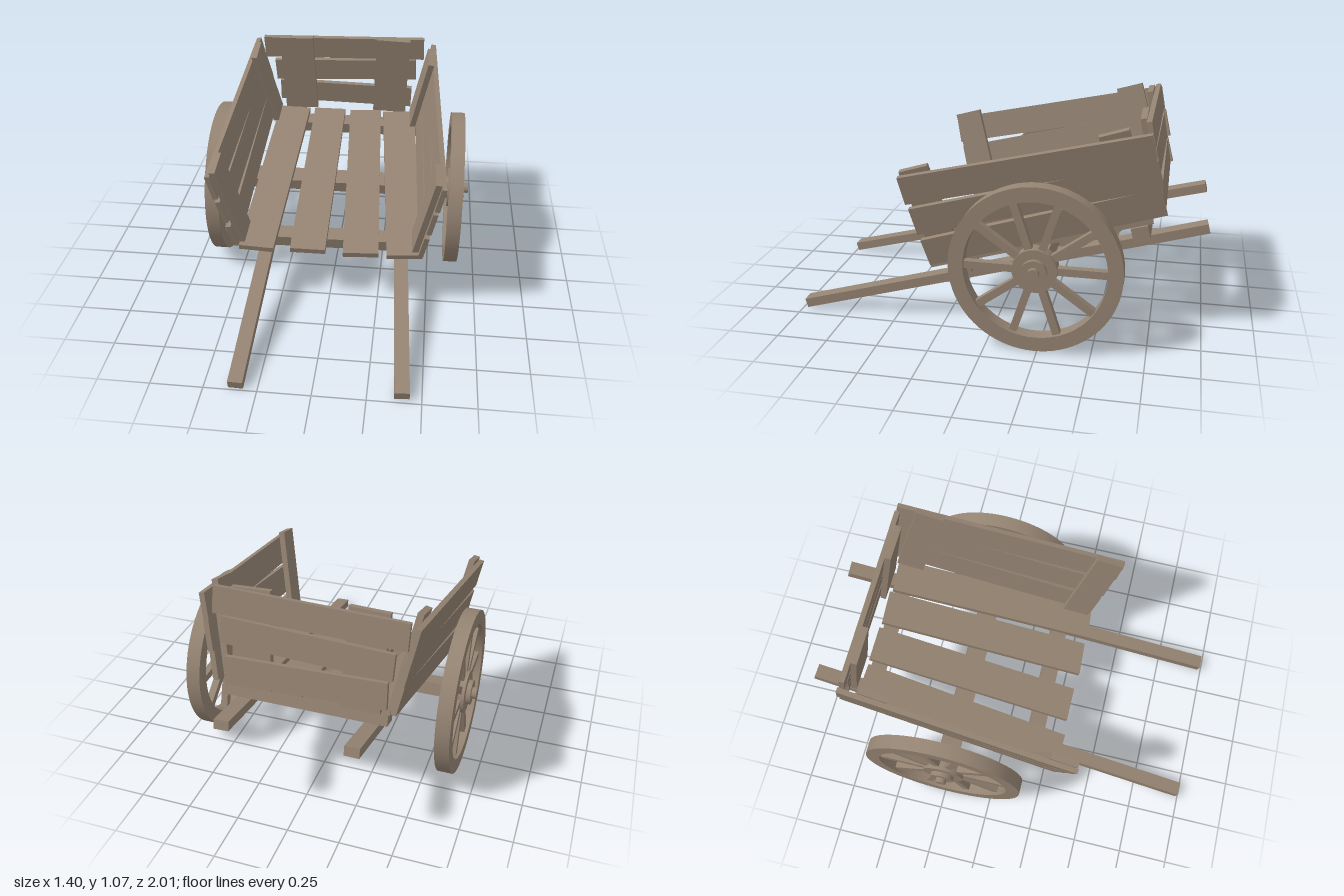
import * as THREE from 'three';
import { toCreasedNormals } from 'three/addons/utils/BufferGeometryUtils.js';

const V = (x, y, z) => new THREE.Vector3(x, y, z);

export function createModel() {
  const wood = new THREE.MeshStandardMaterial({ color: 0x95857a });
  wood.name = 'weathered wood';
  wood.color.set(0x958473);
  const model = new THREE.Group();
  model.name = 'handCart';

  // Tilted frame: origin at the axle, z runs forward along the shafts
  const body = new THREE.Group();
  body.name = 'body';
  body.position.set(0, 0.408, -0.235);
  body.rotation.x = 0.255;
  model.add(body);

  // Straight plank from a to b; side is the direction of its width
  function plank(name, a, b, side, width, thick, parent = body) {
    const z = b.clone().sub(a);
    const length = z.length();
    z.normalize();
    const y = z.clone().cross(side).normalize();
    const x = y.clone().cross(z);
    const mesh = new THREE.Mesh(new THREE.BoxGeometry(width, thick, length), wood);
    mesh.quaternion.setFromRotationMatrix(new THREE.Matrix4().makeBasis(x, y, z));
    mesh.position.copy(a).lerp(b, 0.5);
    mesh.name = name;
    parent.add(mesh);
  }
  const X = V(1, 0, 0);

  // Shafts
  plank('rightShaft', V(-0.31, -0.06, -0.765), V(-0.35, -0.06, 1.285), X, 0.07, 0.046);
  plank('leftShaft', V(0.288, -0.06, -0.775), V(0.41, -0.06, 1.275), X, 0.07, 0.046);

  // Cross beams under the floor
  plank('frontBeam', V(-0.395, -0.002, 0.42), V(0.44, -0.006, 0.405), V(0, 0, 1), 0.08, 0.065);
  plank('backBeam', V(-0.39, 0, -0.47), V(0.4, 0, -0.47), V(0, 0, 1), 0.08, 0.065);
  plank('axleBeam', V(-0.58, 0, 0), V(0.58, 0, 0), V(0, 0, 1), 0.1, 0.065);

  // Floor planks: back x, front x, front end
  [[-0.315, -0.366, 0.56], [-0.108, -0.105, 0.555], [0.1, 0.163, 0.56], [0.292, 0.382, 0.555]]
    .forEach(([xb, xf, zf]) =>
      plank('floorPlank', V(xb, 0.047, -0.53), V(xf, 0.047, zf), X, 0.178, 0.03));

  // Leaning side walls: foot x at the front and back, then three boards and two uprights
  for (const [s, footFront, footBack] of [[1, 0.46, 0.39], [-1, 0.468, 0.428]]) {
    const at = (y, z, inset = 0) => {
      const t = (z + 0.625) / 1.18;
      return V(s * (footBack + (footFront - footBack) * t + 0.19 * (y - 0.04) - inset), y, z);
    };
    const up = V(s * 0.19, 1, 0);
    // Board heights at the back and front
    [[0.406, 0.458, -0.625, 0.552], [0.28, 0.291, -0.625, 0.552], [0.143, 0.118, -0.61, 0.55]]
      .forEach(([yb, yf, zb, zf]) =>
        plank('sideBoard', at(yb, zb), at(yf, zf), up, 0.143, 0.025));
    const along = at(0, 0.5).sub(at(0, -0.5));
    plank('frontUpright', at(0.05, 0.462, 0.029), at(0.55, 0.47, 0.029), along, 0.14, 0.03);
    plank('backUpright', at(0.06, -0.475, 0.029), at(0.515, -0.463, 0.029), along, 0.14, 0.03);
  }

  // Tailboard, leaning slightly back
  const tail = (x, y, out = 0) => V(x, y, -0.555 - 0.07 * y - out);
  const tailUp = V(0, 1, -0.07);
  [[-0.475, 0.42, 0.434, 0.456], [-0.42, 0.38, 0.285, 0.32], [-0.4, 0.36, 0.148, 0.13]]
    .forEach(([x0, x1, y0, y1]) =>
      plank('tailBoard', tail(x0, y0, 0.028), tail(x1, y1, 0.028), tailUp, 0.128, 0.025));
  plank('tailUpright', tail(-0.275, 0.05), tail(-0.29, 0.52), X, 0.185, 0.03);
  plank('tailUpright', tail(0.235, 0.05), tail(0.252, 0.525), X, 0.185, 0.03);

  // Wheels, turning about x
  const ring = new THREE.Shape().absarc(0, 0, 0.403, 0, Math.PI * 2);
  ring.holes.push(new THREE.Path().absarc(0, 0, 0.333, 0, Math.PI * 2, true));
  const rim = toCreasedNormals(
    new THREE.ExtrudeGeometry(ring, { depth: 0.07, bevelEnabled: false, curveSegments: 40 })
      .translate(0, 0, -0.035).rotateY(Math.PI / 2), 0.6);
  for (const s of [1, -1]) {
    const wheel = new THREE.Group();
    wheel.name = s > 0 ? 'leftWheel' : 'rightWheel';
    wheel.position.set(s * 0.62, 0.408, -0.235);
    model.add(wheel);
    const rimMesh = new THREE.Mesh(rim, wood);
    rimMesh.name = 'rim';
    wheel.add(rimMesh);
    // Hub parts: radius, inner and outer end
    for (const [name, r, a, b] of [['hubDisc', 0.105, -0.033, 0.033], ['hub', 0.06, -0.06, 0.055],
      ['axleEnd', 0.028, -0.08, 0.078]]) {
      const part = new THREE.Mesh(
        new THREE.CylinderGeometry(r, r, b - a, 32).rotateZ(Math.PI / 2), wood);
      part.position.x = s * (a + b) / 2;
      part.name = name;
      wheel.add(part);
    }
    for (let i = 0; i < 10; i++) {
      const d = V(0, Math.sin(i * Math.PI / 5), Math.cos(i * Math.PI / 5));
      plank('spoke', d.clone().multiplyScalar(0.09), d.clone().multiplyScalar(0.34), X, 0.036, 0.036, wheel);
    }
  }
  return model;
}
